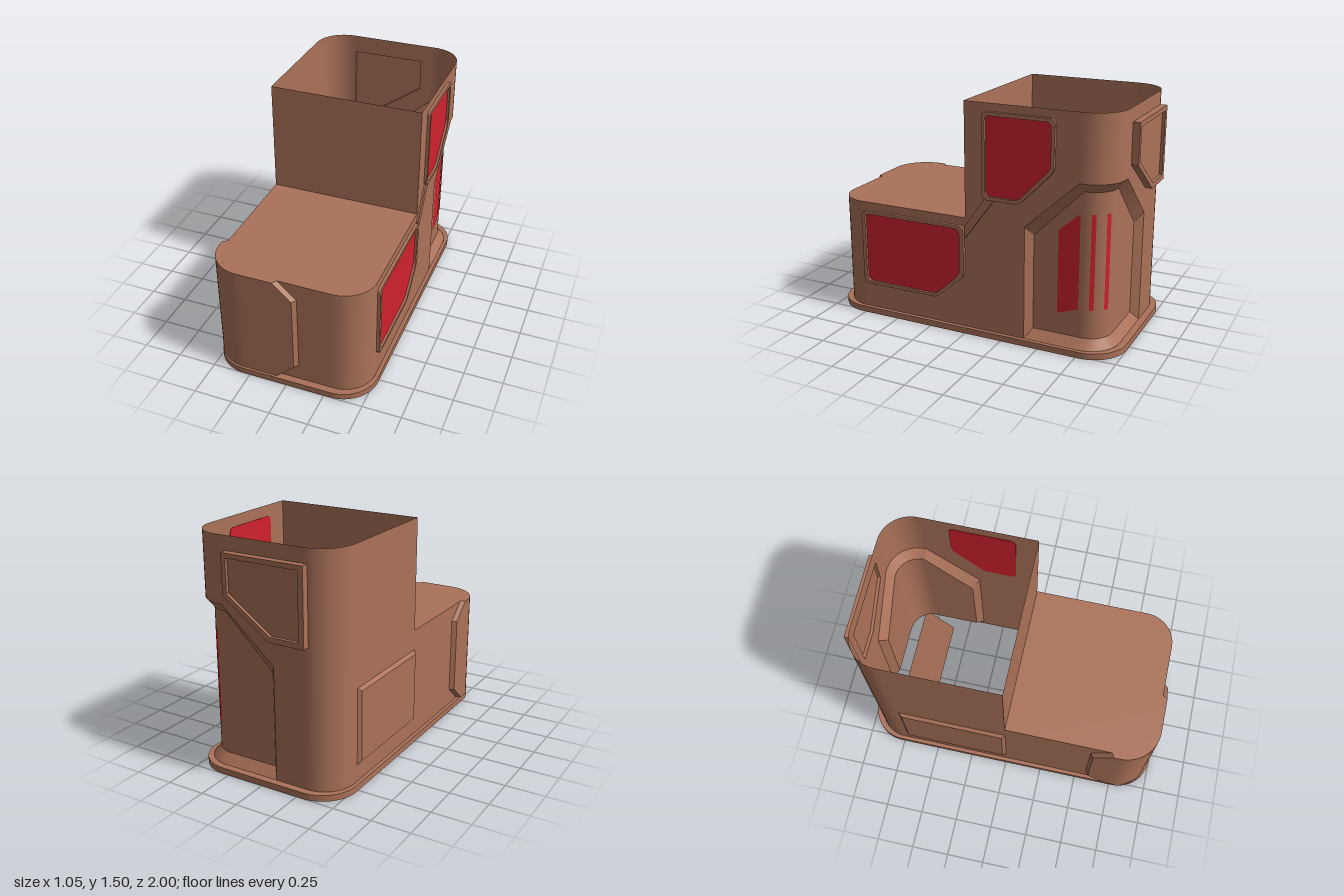
import * as THREE from 'three';

const brown = new THREE.MeshStandardMaterial({ color: 0xab7259, side: THREE.DoubleSide });
brown.name = 'clay brown';
const red = new THREE.MeshStandardMaterial({ color: 0xd0212d, side: THREE.DoubleSide });
red.name = 'window red';

// Rounded-rectangle plan; u runs along it from the middle of the +x side towards the back
const HX = 0.498, HZ = 0.955, R = 0.2, TOP = 1.5, DECK = 0.77, BASE = 0.04;
const cx = HX - R, a = HZ - R, c = Math.PI * R / 2, LEN = 4 * (a + cx + c);
const uBack = x => a + c + cx - x;
const uLeft = z => 2 * a + 2 * c + 2 * cx + z;
const uFront = x => 3 * a + 3 * c + 3 * cx + x;
const corners = [[cx, -a], [-cx, -a], [-cx, a], [cx, a]];

function at(u, y, off = 0) {
  let v = (u + a + LEN) % LEN;
  for (let k = 0; k < 4; k++) {
    const len = k % 2 ? 2 * cx : 2 * a, q = k * Math.PI / 2;
    if (v <= len) {
      const [px, pz] = corners[(k + 3) % 4];
      return [px - Math.sin(q) * v + Math.cos(q) * (R + off), y, pz - Math.cos(q) * v - Math.sin(q) * (R + off)];
    }
    v -= len;
    if (v <= c || k === 3) {
      const t = q + v / R, [px, pz] = corners[k];
      return [px + Math.cos(t) * (R + off), y, pz - Math.sin(t) * (R + off)];
    }
    v -= c;
  }
}

function meshFrom(name, pos, idx, mat) {
  const g = new THREE.BufferGeometry();
  g.setAttribute('position', new THREE.Float32BufferAttribute(pos, 3));
  g.setIndex(idx);
  g.computeVertexNormals();
  const m = new THREE.Mesh(g, mat);
  m.name = name;
  return m;
}

// Lowest and highest y of a convex [u, y] outline at u
function span(poly, u) {
  const ys = [];
  poly.forEach(([u0, y0], i) => {
    const [u1, y1] = poly[(i + 1) % poly.length];
    if (u < Math.min(u0, u1) - 1e-7 || u > Math.max(u0, u1) + 1e-7) return;
    if (Math.abs(u1 - u0) < 1e-7) ys.push(y0, y1);
    else ys.push(y0 + (y1 - y0) * (u - u0) / (u1 - u0));
  });
  return [Math.min(...ys), Math.max(...ys)];
}

// Curved sheet filling an outline on the plan, leaving out the holes
function sheet(name, poly, off, mat, holes = []) {
  const uu = poly.map(p => p[0]), u0 = Math.min(...uu), u1 = Math.max(...uu);
  const cuts = [...uu, ...holes.flat().map(p => p[0])].filter(u => u >= u0 && u <= u1);
  for (let u = u0; u < u1; u += 0.03) cuts.push(u);
  const us = cuts.sort((p, q) => p - q).filter((u, i, l) => !i || u - l[i - 1] > 1e-6);
  const pos = [], idx = [], seen = new Map();
  const vert = (u, y) => {
    const key = u.toFixed(5) + ',' + y.toFixed(5);
    if (!seen.has(key)) { seen.set(key, pos.length / 3); pos.push(...at(u, y, off)); }
    return seen.get(key);
  };
  for (let i = 0; i + 1 < us.length; i++) {
    const [p, q] = [us[i], us[i + 1]], mid = (p + q) / 2;
    const inside = holes.filter(h => isFinite(span(h, mid)[0]))
      .sort((g, h) => span(g, mid)[0] - span(h, mid)[0]);
    const levels = u => {
      const [lo, hi] = span(poly, u);
      return [lo, ...inside.flatMap(h => span(h, u)), hi];
    };
    const l = levels(p), r = levels(q);
    for (let k = 0; k < l.length; k += 2) {
      const A = vert(p, l[k]), B = vert(q, r[k]), C = vert(q, r[k + 1]), D = vert(p, l[k + 1]);
      idx.push(A, B, C, A, C, D);
    }
  }
  return meshFrom(name, pos, idx, mat);
}

// Sloping edge between two matching outlines at different depths
function bevel(name, outer, inner, off) {
  const pos = [], idx = [], N = 24;
  outer.forEach((o0, i) => {
    const j = (i + 1) % outer.length, start = pos.length / 3;
    const mix = (p, q, t) => [p[0] + (q[0] - p[0]) * t, p[1] + (q[1] - p[1]) * t];
    for (let n = 0; n <= N; n++) {
      pos.push(...at(...mix(o0, outer[j], n / N)), ...at(...mix(inner[i], inner[j], n / N), off));
      if (n < N) {
        const s = start + 2 * n;
        idx.push(s, s + 2, s + 3, s, s + 3, s + 1);
      }
    }
  });
  return meshFrom(name, pos, idx, brown);
}

// Polygon path with softened corners
function soft(path, pts, r) {
  pts.forEach((p, i) => {
    const P = new THREE.Vector2(...p);
    const step = o => {
      const d = new THREE.Vector2(...pts[(i + o + pts.length) % pts.length]).sub(P);
      return P.clone().add(d.setLength(r));
    };
    const s = step(-1), e = step(1);
    if (i) path.lineTo(s.x, s.y); else path.moveTo(s.x, s.y);
    path.quadraticCurveTo(P.x, P.y, e.x, e.y);
  });
  path.closePath();
  return path;
}

function plate(name, pts, hole, depth, r, mat) {
  const s = soft(new THREE.Shape(), pts, r);
  if (hole) s.holes.push(soft(new THREE.Path(), hole, r));
  const m = new THREE.Mesh(new THREE.ExtrudeGeometry(s, { depth, bevelEnabled: false, curveSegments: 6 }), mat);
  m.name = name;
  return m;
}

function roundedRect(path, hx, hz, r) {
  path.moveTo(hx, r - hz);
  path.absarc(hx - r, hz - r, r, 0, Math.PI / 2);
  path.absarc(r - hx, hz - r, r, Math.PI / 2, Math.PI);
  path.absarc(r - hx, r - hz, r, Math.PI, Math.PI * 1.5);
  path.absarc(hx - r, r - hz, r, Math.PI * 1.5, Math.PI * 2);
  return path;
}

export function createModel() {
  const g = new THREE.Group();
  g.name = 'steppedHousing';

  // Outlines of the reliefs: back corner recess, front corner armour, side panel
  const recess = [[0.4, BASE], [uBack(-0.08), BASE], [uBack(-0.08), 0.77], [uBack(0.28), 1.085], [0.74, 1.085], [0.4, 0.77]];
  const recessIn = [[0.44, 0.1], [uBack(-0.04), 0.1], [uBack(-0.04), 0.71], [uBack(0.29), 1.025], [0.75, 1.025], [0.44, 0.71]];
  const wrap = (d) => [[uLeft(0.7) + d, BASE], [uFront(-0.05) - d, BASE], [uFront(0.07) - d, 0.15], [uFront(0.07) - d, 0.66],
    [uFront(-0.05) - d, DECK], [uLeft(0.7) + d, DECK], [uLeft(0.57) + d, 0.66], [uLeft(0.57) + d, 0.15]];
  const panel = (d) => [[uLeft(-0.72) + d, 0.15 + d], [uLeft(0) - d, 0.15 + d], [uLeft(0) - d, 0.64 - d], [uLeft(-0.72) + d, 0.64 - d]];
  const backOuter = [[-0.23, 1.155], [0.08, 0.93], [0.32, 0.93], [0.32, 1.41], [-0.23, 1.41]];
  const backInner = [[-0.2, 1.17], [0.09, 0.965], [0.285, 0.965], [0.285, 1.38], [-0.2, 1.38]];
  const backHole = backInner.map(([s, y]) => [uBack(-s), y]);

  // Thin outer walls
  const rect = (u0, u1, y) => [[u0, BASE], [u1, BASE], [u1, y], [u0, y]];
  g.add(sheet('towerWall', rect(0, uLeft(0), TOP), 0, brown, [recess, panel(0), backHole]));
  g.add(sheet('lowerWall', rect(uLeft(0), LEN, DECK), 0, brown, [wrap(0)]));
  g.add(bevel('recessBevel', recess, recessIn, -0.05), sheet('recessFloor', recessIn, -0.05, brown));
  g.add(bevel('frontArmourEdge', wrap(0), wrap(0.02), 0.03), sheet('frontArmour', wrap(0.02), 0.03, brown));
  g.add(bevel('sidePanelEdge', panel(0), panel(0.02), 0.02), sheet('sidePanel', panel(0.02), 0.02, brown));

  // Red slits inside the recess
  g.add(sheet('recessWindow', [[0.6, 0.235], [0.735, 0.285], [0.735, 0.89], [0.6, 0.77]], -0.046, red));
  for (const [u0, u1] of [[0.816, 0.852], [0.94, 0.979]])
    g.add(sheet('recessSlit', [[u0, 0.285], [u1, 0.285], [u1, 0.89], [u0, 0.89]], -0.046, red));

  // Deck of the low part and front wall of the tower
  const deckPts = [];
  for (let i = 0; i <= 160; i++) {
    const p = at(uLeft(0) + (LEN - uLeft(0)) * i / 160, 0);
    deckPts.push(new THREE.Vector2(p[0], -p[2]));
  }
  const deck = new THREE.Mesh(new THREE.ShapeGeometry(new THREE.Shape(deckPts)), brown);
  deck.rotation.x = -Math.PI / 2;
  deck.position.y = DECK;
  deck.name = 'deck';
  const towerFront = new THREE.Mesh(new THREE.PlaneGeometry(2 * HX, TOP - DECK), brown);
  towerFront.position.y = (TOP + DECK) / 2;
  towerFront.name = 'towerFront';
  g.add(deck, towerFront);

  // Base flange
  const ring = roundedRect(new THREE.Shape(), 0.523, 1, 0.23);
  ring.holes.push(roundedRect(new THREE.Path(), HX, HZ, R));
  const flange = new THREE.Mesh(new THREE.ExtrudeGeometry(ring, { depth: BASE, bevelEnabled: false, curveSegments: 16 }), brown);
  flange.rotation.x = -Math.PI / 2;
  flange.name = 'baseFlange';
  g.add(flange);

  // Inward flaps at both ends of the open underside
  for (const s of [-1, 1])
    g.add(meshFrom('underFlap', [-0.5, 0.01, s * 0.85, 0.5, 0.01, s * 0.85, 0.38, 0.08, s * 0.6, -0.38, 0.08, s * 0.6],
      s > 0 ? [0, 1, 2, 0, 2, 3] : [0, 2, 1, 0, 3, 2], brown));

  // Framed windows and the diagonal rib joining them on the +x side
  const side = new THREE.Group();
  side.name = 'sideWindows';
  side.rotation.y = Math.PI / 2;
  side.position.x = HX;
  const windows = [
    [[[0.125, 0.91], [0.37, 0.91], [0.59, 1.14], [0.59, 1.45], [0.125, 1.45]],
      [[0.145, 0.932], [0.36, 0.932], [0.568, 1.15], [0.568, 1.427], [0.145, 1.427]]],
    [[[-0.75, 0.21], [-0.2, 0.21], [-0.005, 0.385], [-0.005, 0.715], [-0.75, 0.715]],
      [[-0.725, 0.23], [-0.21, 0.23], [-0.035, 0.395], [-0.035, 0.695], [-0.725, 0.695]]]];
  for (const [outer, inner] of windows) {
    const pane = plate('windowPane', inner, null, 0.009, 0.035, red);
    pane.position.z = -0.004;
    side.add(plate('windowFrame', outer, inner, 0.02, 0.035, brown), pane);
  }
  side.add(plate('diagonalRib', [[0, 0.635], [0.2, 0.91], [0.135, 0.91], [0, 0.715]], null, 0.012, 0.004, brown));
  g.add(side);

  // Framed hatch on the back
  const back = new THREE.Group();
  back.name = 'backHatch';
  back.rotation.y = Math.PI;
  back.position.z = -HZ;
  const hatch = plate('hatchPanel', backInner, null, 0.005, 0.002, brown);
  hatch.position.z = 0.02;
  back.add(plate('hatchFrame', backOuter, backInner, 0.045, 0.002, brown), hatch);
  g.add(back);
  return g;
}
